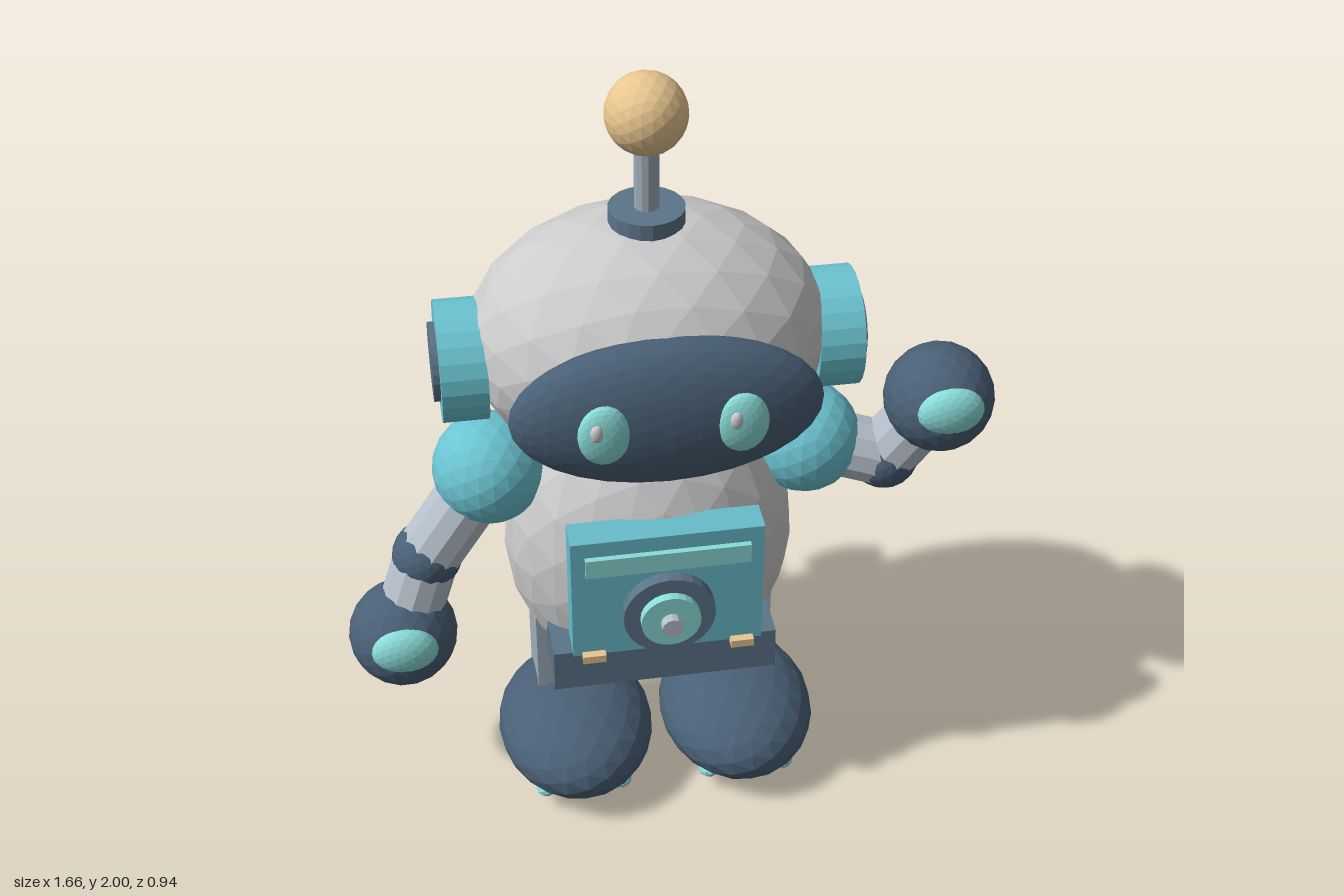
import * as THREE from 'three';

const C = {
  white: 0xe6e3e3, shell: 0xc6d0d9, navy: 0x4a6076, slate: 0x5c7488, teal: 0x6cc4d2,
  panel: 0x68bccb, mint: 0x8adcd8, metal: 0x9fadba, arm: 0xb6c0ca, gold: 0xe8c690, salmon: 0xd9907f,
};
const mats = {};
const mat = (c) => (mats[c] ??= new THREE.MeshStandardMaterial({ color: C[c], flatShading: true }));
const CX = -0.037; // the body's own centre line
const CZ = 0.043;

export function createModel() {
  const root = new THREE.Group();
  root.name = 'robot';

  const add = (name, geo, color, x, y, z) => {
    const m = new THREE.Mesh(geo, mat(color));
    m.name = name;
    m.position.set(x, y, z);
    root.add(m);
    return m;
  };
  // Faceted ellipsoid
  const ball = (name, color, x, y, z, rx, ry = rx, rz = rx, detail = 3) => {
    const m = add(name, new THREE.IcosahedronGeometry(1, detail), color, x, y, z);
    m.scale.set(rx, ry, rz);
    return m;
  };
  const box = (name, color, x, y, z, w, h, d) =>
    add(name, new THREE.BoxGeometry(w, h, d), color, x, y, z);
  // Cylinder between two points
  const rod = (name, color, a, b, r, sides = 20) => {
    const p = new THREE.Vector3(...a), q = new THREE.Vector3(...b);
    const dir = q.clone().sub(p);
    const mid = p.clone().add(q).multiplyScalar(0.5);
    const m = add(name, new THREE.CylinderGeometry(r, r, dir.length(), sides), color, mid.x, mid.y, mid.z);
    m.quaternion.setFromUnitVectors(new THREE.Vector3(0, 1, 0), dir.normalize());
    return m;
  };

  // Torso and head
  ball('torso', 'white', CX, 0.695, CZ, 0.375, 0.45, 0.29);
  ball('head', 'white', CX, 1.31, CZ, 0.445, 0.325, 0.345);
  ball('headBackShell', 'shell', CX, 1.28, -0.12, 0.4, 0.28, 0.22);
  ball('visor', 'navy', CX, 1.29, 0.345, 0.372, 0.195, 0.105, 5);

  // Antenna
  rod('antennaBase', 'slate', [CX, 1.6, CZ], [CX, 1.66, CZ], 0.092);
  rod('antennaStem', 'metal', [CX, 1.64, CZ], [CX, 1.84, CZ], 0.03, 12);
  ball('antennaBall', 'gold', CX, 1.902, CZ, 0.098);

  // Chest panel with slot, dial and hinges
  box('chestPanel', 'panel', CX, 0.74, 0.318, 0.48, 0.36, 0.084);
  box('panelSlot', 'mint', CX, 0.85, 0.365, 0.41, 0.054, 0.02);
  rod('dialRing', 'slate', [CX, 0.69, 0.35], [CX, 0.69, 0.392], 0.116, 24);
  rod('dialFace', 'mint', [CX, 0.69, 0.38], [CX, 0.69, 0.415], 0.075, 24);
  rod('dialKnob', 'arm', [CX, 0.69, 0.41], [CX, 0.69, 0.44], 0.027, 12);
  box('beltPouch', 'slate', CX, 0.48, 0.222, 0.572, 0.12, 0.206);

  // Backpack
  box('backpack', 'slate', CX, 0.72, -0.262, 0.5, 0.54, 0.146);

  // Paired parts: s = 1 is the left side, s = -1 the right
  for (const s of [1, -1]) {
    const side = s > 0 ? 'left' : 'right';
    const X = (d) => CX + s * d;

    // Face and ears
    ball(side + 'Eye', 'mint', X(0.161), 1.3, 0.435, 0.062, 0.081, 0.027);
    ball(side + 'EyeGlint', 'white', X(0.161) - 0.02, 1.325, 0.461, 0.015, 0.023, 0.011, 2);
    rod(side + 'EarPad', 'teal', [X(0.4), 1.275, CZ], [X(0.512), 1.275, CZ], 0.15, 24);
    rod(side + 'EarCap', 'slate', [X(0.5), 1.275, CZ], [X(0.528), 1.275, CZ], 0.097, 24);

    // Panel hinge and thruster
    box(side + 'PanelHinge', 'gold', X(0.188), 0.56, 0.366, 0.058, 0.022, 0.03);
    rod(side + 'Thruster', 'metal', [X(0.16), 0.658, -0.32], [X(0.16), 0.658, -0.455], 0.093, 16);
    rod(side + 'ThrusterNozzle', 'salmon', [X(0.16), 0.658, -0.44], [X(0.16), 0.658, -0.473], 0.055, 16);

    // Leg, foot and toe studs
    box(side + 'Leg', 'metal', X(0.227), 0.37, CZ, 0.17, 0.46, 0.2);
    ball(side + 'Foot', 'navy', X(0.219), 0.14, 0.16, 0.206, 0.136, 0.262);
    for (const t of [-1, 1])
      ball(side + 'ToeStud', 'mint', X(0.219) + t * 0.1, 0.07, 0.326, 0.028, 0.022, 0.028, 1);

    // Arm: the left one is raised, the right one hangs
    const shoulder = [X(0.403), 0.948, 0.052];
    const elbow = s > 0 ? [0.57, 0.89, 0.085] : [-0.613, 0.712, 0.085];
    const hand = s > 0 ? [0.692, 1.08, 0.117] : [-0.692, 0.493, 0.122];
    ball(side + 'Shoulder', 'teal', ...shoulder, 0.144);
    rod(side + 'UpperArm', 'arm', shoulder, elbow, 0.086, 12);
    ball(side + 'Elbow', 'navy', ...elbow, 0.09);
    rod(side + 'Forearm', 'arm', elbow, hand, 0.084, 12);
    ball(side + 'Hand', 'navy', ...hand, 0.14);
    ball(side + 'PalmPad', 'mint', hand[0], hand[1] + 0.028, hand[2] + 0.105, 0.085, 0.068, 0.043);
  }
  return root;
}
